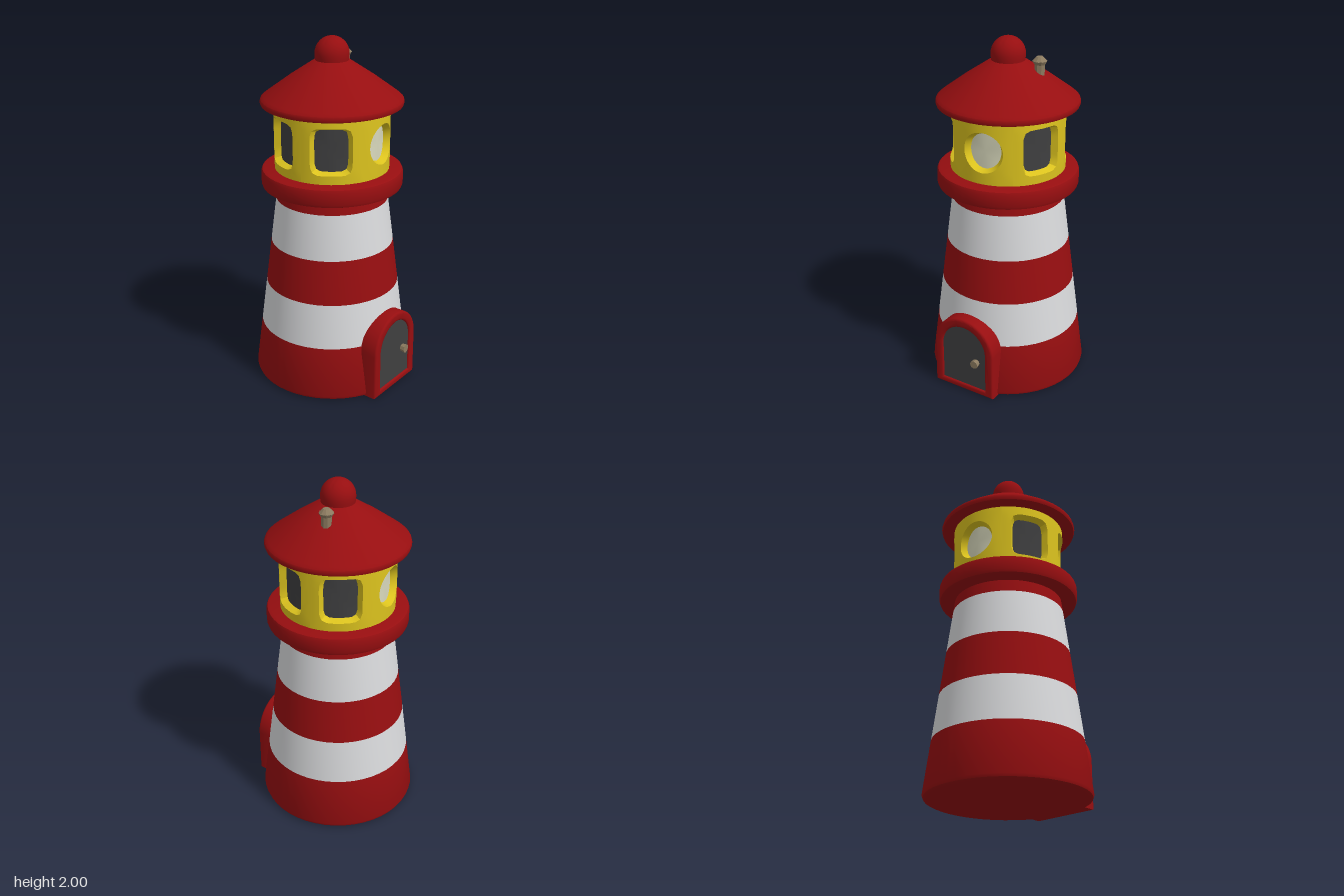
import * as THREE from 'three';
import { toCreasedNormals } from 'three/addons/utils/BufferGeometryUtils.js';

const mat = (name, color) => {
  const m = new THREE.MeshStandardMaterial({ color });
  m.name = name;
  return m;
};

export function createModel() {
  const red = mat('red', 0x970e10);
  const white = mat('white', 0xd9dadc);
  const yellow = mat('yellow', 0xdcc31e);
  const dark = mat('charcoal', 0x3f3f40);
  const cream = mat('cream', 0xd8d8bc);
  const brass = mat('taupe', 0x8c7b60);

  const model = new THREE.Group();
  model.name = 'lighthouse';
  const tower = new THREE.Group();
  tower.name = 'tower';
  tower.position.z = -0.014;
  model.add(tower);

  const add = (parent, name, geometry, material, x = 0, y = 0, z = 0) => {
    const mesh = new THREE.Mesh(geometry, material);
    mesh.name = name;
    mesh.position.set(x, y, z);
    parent.add(mesh);
    return mesh;
  };
  const lathe = (name, pts, material, parent = tower) =>
    add(parent, name, toCreasedNormals(
      new THREE.LatheGeometry(pts.map(p => new THREE.Vector2(...p)), 48), 0.6), material);

  // Tapered striped wall
  const radius = y => 0.459 - 0.129 * y;
  const bands = [0.025, 0.315, 0.573, 0.828, 1.087, 1.18];
  for (let i = 0; i < 5; i++) {
    const [a, b] = [bands[i], bands[i + 1]];
    const pts = [[radius(a), a], [radius(b), b]];
    if (i === 0) pts.unshift([0, 0.002], [0.435, 0.002], [0.45, 0.009]);
    lathe(`wallBand${i + 1}`, pts, i % 2 ? white : red);
  }

  // Gallery ring with rounded edges
  lathe('gallery', [[0, 1.158], [0.38, 1.158], [0.394, 1.164], [0.4, 1.18], [0.4, 1.245],
    [0.394, 1.26], [0.38, 1.266], [0, 1.266]], red);

  // Roof and its domed finial
  lathe('roof', [[0, 1.625], [0.38, 1.625], [0.393, 1.63], [0.398, 1.645], [0.394, 1.66],
    [0.378, 1.674], [0.24, 1.775], [0.1, 1.868], [0.08, 1.875]], red);
  const dome = [[0.09, 1.85], [0.094, 1.885]];
  for (let i = 0; i <= 8; i++) {
    const a = i / 8 * Math.PI / 2;
    dome.push([0.095 * Math.cos(a), 1.905 + 0.095 * Math.sin(a)]);
  }
  lathe('finial', dome, red);

  // Lantern panel: a 60 degree wall sector with a recessed window
  const N = 32, midY = 1.445;
  function lanternPanel(azimuth, round) {
    const power = round ? 2 : 6;
    const loop = (f, halfAngle, halfHeight, r) => Array.from({ length: N }, (_, i) => {
      const t = i / N * Math.PI * 2, c = Math.cos(t), s = Math.sin(t);
      const k = f(Math.abs(c), Math.abs(s));
      return [c / k * halfAngle, s / k * halfHeight, r];
    });
    const box = (c, s) => Math.max(c, s);
    const oval = (c, s) => (c ** power + s ** power) ** (1 / power);
    const outer = loop(box, Math.PI / 6, 0.187, 0.323);
    const rim = loop(oval, 0.36, round ? 0.114 : 0.13, 0.325);
    const inner = loop(oval, 0.32, round ? 0.099 : 0.116, 0.287);
    const mix = t => outer.map((p, i) => p.map((v, j) => v + (rim[i][j] - v) * t));
    const bend = ([a, y, r]) =>
      [r * Math.sin(azimuth + a), midY + y, r * Math.cos(azimuth + a)];
    const skin = (loops, close) => {
      const pos = loops.flat().flatMap(bend), idx = [];
      for (let k = 0; k < loops.length - 1; k++) for (let i = 0; i < N; i++) {
        const j = (i + 1) % N, a = k * N + i, b = k * N + j;
        idx.push(a, b, a + N, b, b + N, a + N);
      }
      if (close) {
        pos.push(...bend([0, 0, loops[0][0][2]]));
        for (let i = 0; i < N; i++) idx.push(i, (i + 1) % N, N);
      }
      const g = new THREE.BufferGeometry();
      g.setAttribute('position', new THREE.Float32BufferAttribute(pos, 3));
      g.setIndex(idx);
      return toCreasedNormals(g, 0.6);
    };
    add(tower, 'lanternWall', skin([outer, mix(0.35), mix(0.7), rim, inner], false), yellow);
    add(tower, round ? 'roundWindow' : 'squareWindow', skin([inner], true), round ? cream : dark);
  }
  for (let i = 0; i < 6; i++) {
    lanternPanel(THREE.MathUtils.degToRad(5 + i * 60), i % 3 === 0);
  }

  // Chimney with a faceted cap
  const chimney = new THREE.Group();
  chimney.name = 'chimney';
  chimney.position.set(0.172, 0, -0.052);
  model.add(chimney);
  const flat = g => toCreasedNormals(g, 0.3);
  add(chimney, 'chimneyPipe', flat(new THREE.CylinderGeometry(0.03, 0.026, 0.12, 8)), brass, 0, 1.81);
  add(chimney, 'chimneyCap', flat(new THREE.CylinderGeometry(0.041, 0.03, 0.02, 9)), brass, 0, 1.868);
  add(chimney, 'chimneyCapTop', flat(new THREE.CylinderGeometry(0.018, 0.041, 0.024, 9)), brass, 0, 1.889);

  // Arched doorway
  const door = new THREE.Group();
  door.name = 'doorway';
  door.position.x = -0.01;
  door.rotation.y = -0.03;
  model.add(door);
  const arch = (Path, w, top, bottom) => {
    const p = new Path();
    p.moveTo(-w, bottom);
    p.lineTo(w, bottom);
    p.lineTo(w, top - w);
    p.absarc(0, top - w, w, 0, Math.PI, false);
    p.closePath();
    return p;
  };
  const frame = arch(THREE.Shape, 0.185, 0.46, 0.016);
  frame.holes.push(arch(THREE.Path, 0.157, 0.432, 0.028));
  add(door, 'doorFrame', toCreasedNormals(new THREE.ExtrudeGeometry(frame, {
    depth: 0.12, bevelEnabled: true, bevelThickness: 0.013, bevelSize: 0.013,
    bevelSegments: 3, curveSegments: 20,
  }), 0.6), red, 0, 0, 0.322);
  add(door, 'doorPanel', new THREE.ExtrudeGeometry(arch(THREE.Shape, 0.152, 0.428, 0.025), {
    depth: 0.1, bevelEnabled: false, curveSegments: 20,
  }), dark, 0, 0, 0.344);

  // Door knob
  const knob = add(door, 'doorKnob', flat(new THREE.CylinderGeometry(0.025, 0.021, 0.04, 8)),
    brass, 0.083, 0.213, 0.452);
  knob.rotation.x = Math.PI / 2;

  return model;
}
